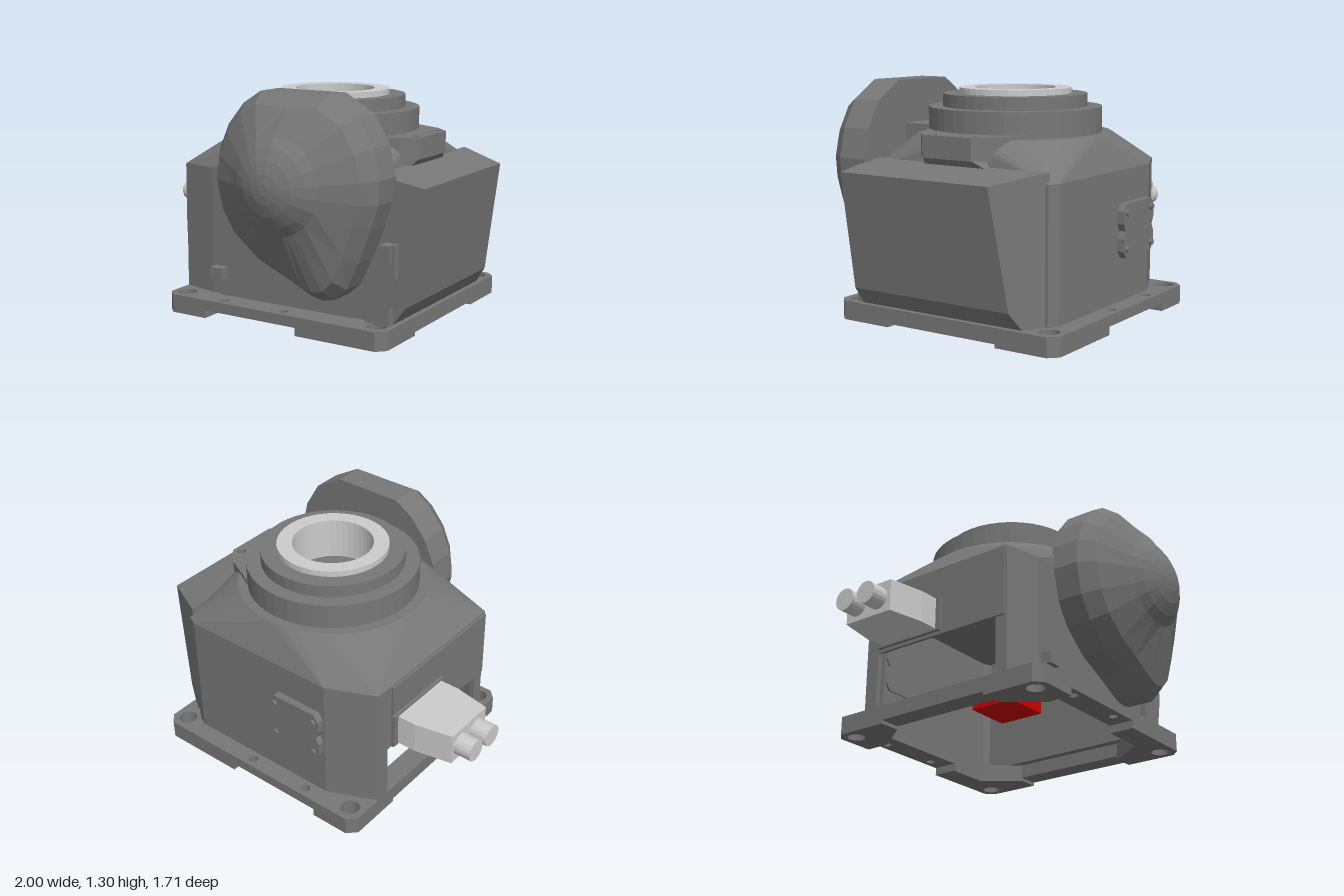
import * as THREE from 'three';
import { ConvexGeometry } from 'three/addons/geometries/ConvexGeometry.js';

const mat = (color) => new THREE.MeshStandardMaterial({ color, flatShading: true, side: THREE.DoubleSide });
const V = (x, y, z) => new THREE.Vector3(x, y, z);

export function createModel() {
  const group = new THREE.Group();
  const dark = mat(0x777777), light = mat(0xcccccc), red = mat(0xcc0000);

  const add = (name, geometry, material = dark) => {
    const mesh = new THREE.Mesh(geometry, material);
    mesh.name = name;
    group.add(mesh);
    return mesh;
  };
  // box given by its extents
  const box = (name, x0, x1, y0, y1, z0, z1, m) =>
    add(name, new THREE.BoxGeometry(x1 - x0, y1 - y0, z1 - z0)
      .translate((x0 + x1) / 2, (y0 + y1) / 2, (z0 + z1) / 2), m);
  const shapeOf = (pts) => new THREE.Shape(pts.map(([x, y]) => new THREE.Vector2(x, y)));
  const circleHole = (x, y, r) => new THREE.Path().absarc(x, y, r, 0, Math.PI * 2, true);
  const extrude = (shape, depth) =>
    new THREE.ExtrudeGeometry(shape, { depth, bevelEnabled: false, curveSegments: 12 });
  // plan outline (x, z) raised from y0 to y1
  const raise = (shape, y0, y1) => extrude(shape, y1 - y0).rotateX(Math.PI / 2).translate(0, y1, 0);
  // front outline (x, y) running from z0 to z1
  const forward = (shape, z0, z1) => extrude(shape, z1 - z0).translate(0, 0, z0);
  // skin over rings of equal point count, with optional end cap and skipped quads
  const loft = (rings, { caps = false, skip = () => false } = {}) => {
    const n = rings[0].length, pos = rings.flat(), idx = [];
    for (let r = 0; r < rings.length - 1; r++) {
      for (let i = 0; i < n; i++) {
        if (skip(r, i)) continue;
        const a = r * n + i, b = r * n + (i + 1) % n;
        idx.push(a, b, b + n, a, b + n, a + n);
      }
    }
    if (caps) {
      const last = (rings.length - 1) * n;
      for (let i = 1; i < n - 1; i++) idx.push(0, i + 1, i, last, last + i, last + i + 1);
    }
    const g = new THREE.BufferGeometry().setFromPoints(pos);
    g.setIndex(idx);
    g.computeVertexNormals();
    return g;
  };

  // base plate: open frame with bolt holes
  const cx = 0.157, cz = -0.147, h = 0.707, c = 0.05;
  const plate = shapeOf([[-h + c, -h], [h - c, -h], [h, -h + c], [h, h - c],
    [h - c, h], [-h + c, h], [-h, h - c], [-h, -h + c]]);
  plate.holes.push(new THREE.Path([[-0.58, -0.35], [-0.43, -0.56], [0.43, -0.56], [0.58, -0.35],
    [0.58, 0.35], [0.43, 0.56], [-0.43, 0.56], [-0.58, 0.35]].map(([x, y]) => new THREE.Vector2(x, y))));
  for (const x of [-0.33, 0.06]) {
    for (const z of [-0.655, 0.655]) plate.holes.push(circleHole(x, z, 0.026));
  }
  for (const sx of [-1, 1]) {
    for (const sz of [-1, 1]) {
      plate.holes.push(circleHole(sx * 0.62, sz * 0.62, 0.052));
      // corner foot pads
      const inner = sx < 0 ? 0.43 : 0.17;
      const pad = shapeOf([[inner, h], [h - c, h], [h, h - c], [h, 0.35], [0.58, 0.35], [0.43, 0.56], [inner, 0.56]]
        .map(([x, z]) => [sx * x, sz * z]));
      pad.holes.push(circleHole(sx * 0.62, sz * 0.62, 0.052));
      add('footPad', raise(pad, 0, 0.045).translate(cx, 0, cz));
      // raised rim around each bolt hole
      add('boltHoleRim', new THREE.TorusGeometry(0.06, 0.008, 6, 24)
        .rotateX(Math.PI / 2).translate(cx + sx * 0.62, 0.1, cz + sz * 0.62));
    }
    const x0 = cx + (sx < 0 ? -h : 0.58);
    box('plateSideRail', x0, x0 + h - 0.58, 0.02, 0.045, cz - 0.36, cz + 0.36);
  }
  add('basePlate', raise(plate, 0.045, 0.105).translate(cx, 0, cz));

  // hollow body walls, with the lower part of the connector side left open
  const foot = [[-0.55, -0.63], [-0.55, 0.35], [-0.33, 0.4], [0.72, 0.4], [0.72, -0.72], [0.66, -0.75], [-0.28, -0.75]];
  const ringAt = (y) => foot.map(([x, z]) => V(x, y, z));
  add('bodyWalls', loft([0.1, 0.42, 0.83].map(ringAt), { skip: (r, i) => r === 0 && i === 0 }));
  box('openingPost', -0.55, -0.52, 0.1, 0.42, -0.63, -0.55);
  box('openingPost', -0.55, -0.52, 0.1, 0.42, 0.28, 0.35);

  // shoulder blending the walls into the round top
  const shoulder = ringAt(0.83);
  for (let i = 0; i < 40; i++) {
    const a = i / 40 * Math.PI * 2;
    shoulder.push(V(0.15 + 0.54 * Math.cos(a), 1.02, -0.14 + 0.53 * Math.sin(a)));
  }
  add('shoulder', new ConvexGeometry(shoulder));

  // side bulge, its back end slanting forward toward the outside
  const bulge = forward(shapeOf([[0.69, 0.1], [0.83, 0.1], [0.9, 0.2], [1.0, 0.84], [0.7, 0.89]]), -0.72, 0.395);
  const bp = bulge.attributes.position;
  for (let i = 0; i < bp.count; i++) {
    if (bp.getZ(i) < 0) bp.setZ(i, -0.72 + (bp.getX(i) - 0.69) * 0.55);
  }
  bulge.computeVertexNormals();
  add('sideBulge', bulge);

  // stepped turntable and hollow bearing sleeve
  const lathe = (pts) => new THREE.LatheGeometry(pts.map(([x, y]) => new THREE.Vector2(x, y)), 40)
    .translate(0.15, 0, -0.14);
  add('turntable', lathe([[0.48, 1.0], [0.48, 1.16], [0.4, 1.16], [0.4, 1.23], [0.225, 1.23]]));
  add('bearingSleeve', lathe([[0.31, 1.22], [0.31, 1.262], [0.225, 1.262], [0.225, 1.025]]), light);
  add('sleeveFloor', lathe([[0.23, 1.03], [0, 1.03]]));

  // stop block with screw holes beside the turntable
  const stop = shapeOf([[0.45, -0.5], [0.69, -0.38], [0.78, -0.29], [0.78, 0.02], [0.69, 0.1], [0.45, 0.22]]);
  for (const [z, r] of [[-0.27, 0.024], [-0.19, 0.01], [-0.09, 0.01], [-0.01, 0.024]]) {
    stop.holes.push(circleHole(0.73, z, r));
  }
  add('stopBlock', raise(stop, 0.92, 1.04));
  add('stopBlockBase', new ConvexGeometry([V(0.5, 0.92, -0.48), V(0.77, 0.92, -0.29), V(0.77, 0.92, 0.02),
    V(0.5, 0.92, 0.2), V(0.5, 0.86, -0.48), V(0.72, 0.86, -0.38), V(0.72, 0.86, 0.05), V(0.5, 0.86, 0.2)]));

  // teardrop drive cover with a domed centre
  const mx = 0.33, my = 0.84;
  const tear = [[0.11, 1.3], [0.0, 1.23], [-0.1, 1.11], [-0.16, 0.97], [-0.18, 0.82], [-0.14, 0.64], [-0.06, 0.51],
    [0.09, 0.39], [0.25, 0.32], [0.43, 0.235], [0.5, 0.22], [0.57, 0.235], [0.64, 0.3], [0.71, 0.45], [0.78, 0.63],
    [0.82, 0.76], [0.83, 0.89], [0.79, 1.05], [0.7, 1.2], [0.53, 1.3], [0.33, 1.3]];
  const coverRing = (z, radius) => tear.map(([x, y]) => {
    const d = Math.hypot(x - mx, y - my), k = radius(d) / d;
    return V(mx + (x - mx) * k, my + (y - my) * k, z);
  });
  add('driveCover', loft([[0.38, (d) => d], [0.55, (d) => d], [0.64, (d) => d - 0.065], [0.75, () => 0.26],
    [0.79, () => 0.21], [0.825, () => 0.145], [0.847, () => 0.08], [0.855, () => 0.03]]
    .map(([z, f]) => coverRing(z, f)), { caps: true }));
  box('coverNeck', -0.04, 0.47, 0.8, 1.06, 0.15, 0.4);

  // bracket and small boxes on the front wall
  add('frontBracket', forward(shapeOf([[0.69, 0.1], [0.83, 0.1], [0.83, 0.2], [0.86, 0.36], [0.86, 0.54],
    [0.8, 0.54], [0.76, 0.49], [0.69, 0.35]]), 0.39, 0.44));
  box('bracketBlock', 0.785, 0.845, 0.45, 0.54, 0.4, 0.47);
  box('frontBlock', -0.31, -0.23, 0.2, 0.27, 0.38, 0.46);

  // rear access plate with screws
  add('rearPlate', forward(shapeOf([[-0.24, 0.35], [0.04, 0.35], [0.07, 0.39], [0.07, 0.46], [0.05, 0.5], [0.07, 0.54],
    [0.07, 0.61], [0.04, 0.65], [-0.24, 0.65], [-0.27, 0.61], [-0.27, 0.54], [-0.25, 0.5], [-0.27, 0.46],
    [-0.27, 0.39]]), -0.79, -0.74));
  for (const x of [-0.235, 0.035]) {
    for (const y of [0.4, 0.6]) {
      add('rearScrew', new THREE.CylinderGeometry(0.018, 0.018, 0.02, 12).rotateX(Math.PI / 2).translate(x, y, -0.795));
    }
  }

  // connector panel, housing and plugs
  box('connectorPanel', -0.562, -0.545, 0.42, 0.82, -0.52, 0.34);
  box('connectorFlange', -0.58, -0.56, 0.44, 0.64, -0.53, -0.08);
  add('connectorHousing', raise(shapeOf([[-0.57, -0.5], [-0.69, -0.5], [-0.9, -0.46], [-0.9, -0.15],
    [-0.69, -0.11], [-0.57, -0.11]]), 0.45, 0.63), light);
  for (const z of [-0.385, -0.235]) {
    add('connectorPlug', new THREE.CylinderGeometry(0.062, 0.062, 0.11, 20)
      .rotateZ(Math.PI / 2).translate(-0.945, 0.54, z), light);
  }

  // inner unit seen through the open underside
  box('innerUnit', 0.3, 0.6, 0.35, 0.5, -0.55, -0.25, red);
  return group;
}
